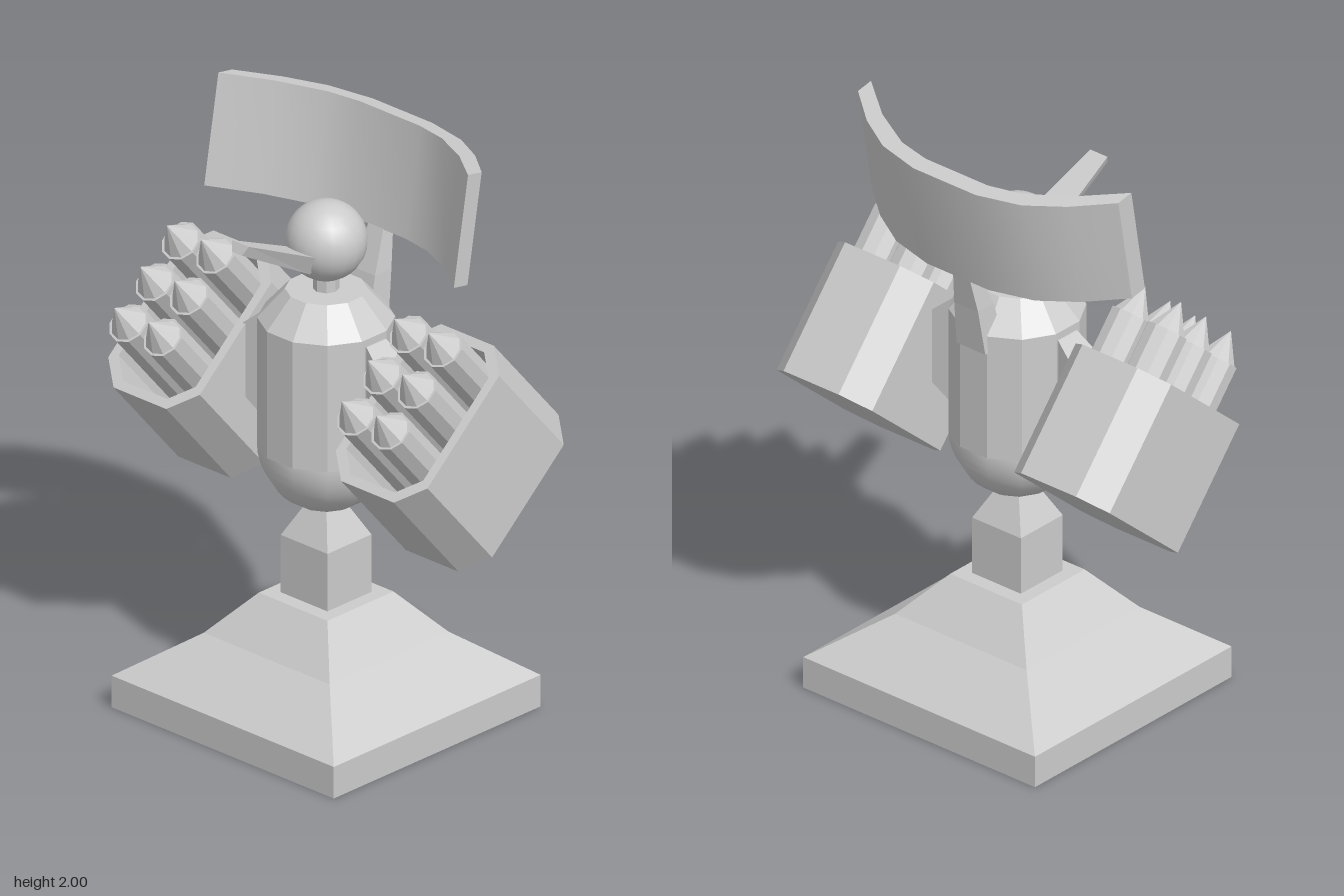
import * as THREE from 'three';
import { toCreasedNormals } from 'three/addons/utils/BufferGeometryUtils.js';

const flat = new THREE.MeshStandardMaterial({ color: 0xcccccc, flatShading: true });
const smooth = new THREE.MeshStandardMaterial({ color: 0xcccccc });

function add(parent, name, geometry, x = 0, y = 0, z = 0, material = flat) {
  const mesh = new THREE.Mesh(geometry, material);
  mesh.name = name;
  mesh.position.set(x, y, z);
  parent.add(mesh);
  return mesh;
}

// Four-cornered cross-section at height y, from zBack to zFront
const section = (y, hx, zFront, zBack = -zFront, hxBack = hx) =>
  [[-hx, y, zFront], [hx, y, zFront], [hxBack, y, zBack], [-hxBack, y, zBack]];

// Joins cross-sections upwards and caps both ends
function loft(rings) {
  const pos = [];
  const quad = (a, b, c, d) => pos.push(...a, ...b, ...c, ...a, ...c, ...d);
  for (let k = 0; k < rings.length - 1; k++) {
    const lo = rings[k], hi = rings[k + 1];
    for (let i = 0; i < 4; i++) {
      const j = (i + 1) % 4;
      quad(lo[i], lo[j], hi[j], hi[i]);
    }
  }
  const first = rings[0], last = rings[rings.length - 1];
  quad(first[3], first[2], first[1], first[0]);
  quad(...last);
  const geo = new THREE.BufferGeometry();
  geo.setAttribute('position', new THREE.Float32BufferAttribute(pos, 3));
  geo.computeVertexNormals();
  return geo;
}

// Extrudes an x/z outline upwards
const extrudeUp = (shape, depth) =>
  new THREE.ExtrudeGeometry(shape, { depth, bevelEnabled: false }).rotateX(-Math.PI / 2);

// Rectangle with cut corners
const cutRect = (w, h, c) => [
  [-w + c, -h], [w - c, -h], [w, -h + c], [w, h - c],
  [w - c, h], [-w + c, h], [-w, h - c], [-w, -h + c],
].map(([x, y]) => new THREE.Vector2(x, y));

// Open-topped launcher pod with two columns of three missiles
function createPod() {
  const pod = new THREE.Group();
  const half = 0.225, floor = 0.06;
  add(pod, 'podFloor', extrudeUp(new THREE.Shape(cutRect(0.2, 0.3, 0.085)), floor), 0, -half);
  const wall = new THREE.Shape(cutRect(0.2, 0.3, 0.085));
  wall.holes.push(new THREE.Path(cutRect(0.168, 0.268, 0.072)));
  add(pod, 'podWall', extrudeUp(wall, 2 * half - floor), 0, floor - half);
  for (const x of [-0.075, 0.075]) {
    for (const z of [0.131, -0.026, -0.184]) {
      const missile = new THREE.Group();
      missile.name = 'missile';
      missile.position.set(x, 0, z);
      add(missile, 'missileBody', new THREE.CylinderGeometry(0.07, 0.07, 0.545, 10), 0, 0.1075);
      add(missile, 'missileTip', new THREE.ConeGeometry(0.062, 0.1, 10), 0, 0.43);
      pod.add(missile);
    }
  }
  return pod;
}

export function createModel() {
  const model = new THREE.Group();
  model.name = 'turret';

  // Pedestal
  add(model, 'base', loft([
    section(0, 0.485, 0.47), section(0.11, 0.485, 0.47),
    section(0.26, 0.275, 0.27), section(0.4, 0.15, 0.15),
  ]));
  add(model, 'post', loft([
    section(0.39, 0.102, 0.1), section(0.6, 0.102, 0.1), section(0.72, 0.04, 0.04),
  ]));

  // Twelve-sided body with rounded underside
  const turn = Math.PI / 12;
  add(model, 'body', new THREE.CylinderGeometry(0.218, 0.218, 0.44, 12).rotateY(turn), 0, 1.14);
  add(model, 'shoulder', new THREE.CylinderGeometry(0.13, 0.218, 0.1, 12).rotateY(turn), 0, 1.41);
  add(model, 'underside', new THREE.SphereGeometry(0.218, 12, 10, 0, Math.PI * 2, Math.PI / 2, Math.PI / 2)
    .rotateY(turn), 0, 0.92, 0, smooth);

  // Neck, head and upturned beak
  add(model, 'neck', new THREE.CylinderGeometry(0.042, 0.042, 0.1, 8), 0, 1.49);
  add(model, 'head', new THREE.SphereGeometry(0.132, 20, 14), 0, 1.628, 0, smooth);
  const beak = add(model, 'beak', loft([
    section(0, 0.035, 0.035, -0.025, 0.065), section(0.335, 0.022, 0.018, -0.016, 0.036),
  ]), 0, 1.587, 0.095);
  beak.rotation.x = 1.12;

  // Curved dish leaning back, held by a strut
  const right = [[0.13, 0.008], [0.29, 0.045], [0.42, 0.118], [0.545, 0.22],
    [0.545, 0.283], [0.4, 0.17], [0.25, 0.092], [0.13, 0.067]];
  const outline = [
    ...right,
    ...right.slice().reverse().map(([x, z]) => [-x, z]),
  ].map(([x, z]) => new THREE.Vector2(x, -z));
  const dish = add(model, 'dish', toCreasedNormals(extrudeUp(new THREE.Shape(outline), 0.377), 0.6),
    0, 1.585, -0.292, smooth);
  dish.rotation.x = -0.172;
  add(model, 'dishStrut', loft([
    section(1.3, 0.06, -0.13, -0.222), section(1.46, 0.05, -0.17, -0.245),
    section(1.62, 0.03, -0.235, -0.275),
  ]));

  // Arms and tilted launcher pods
  for (const side of [-1, 1]) {
    const arm = add(model, side > 0 ? 'leftArm' : 'rightArm',
      loft([section(0.17, 0.2, 0.045), section(0.215, 0.2, 0.045), section(0.305, 0.125, 0.065)]),
      0, 1.135, -0.005);
    arm.rotation.z = -side * Math.PI / 2;

    const pod = createPod();
    pod.name = side > 0 ? 'leftPod' : 'rightPod';
    pod.position.set(side * 0.497, 1.05, -0.045);
    pod.rotation.x = 0.712;
    model.add(pod);
  }

  return model;
}
